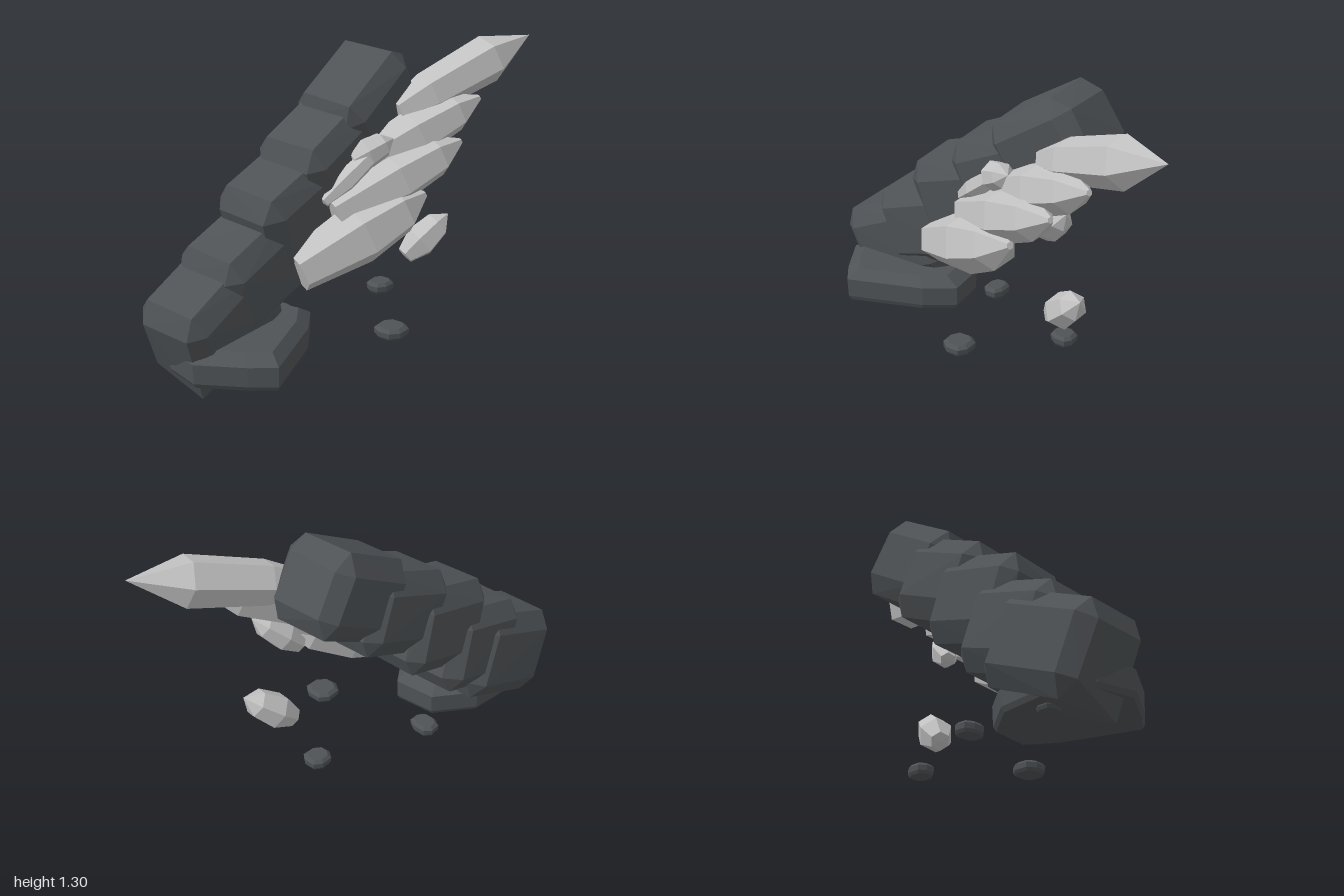
import * as THREE from 'three';
import { ConvexGeometry } from 'three/addons/geometries/ConvexGeometry.js';

const V = (x, y, z) => new THREE.Vector3(x, y, z);
const rad = THREE.MathUtils.degToRad;

// Small seeded generator for rough corners
let seed = 7;
const rough = (amount) => {
  seed = (seed * 16807) % 2147483647;
  return (seed / 2147483647 - 0.5) * 2 * amount;
};

// Corner points of a box with every edge and corner chamfered
function chamferedPoints(l, h, d, cu, cv, cw, jitter) {
  const points = [];
  for (const sx of [-1, 1]) for (const sy of [-1, 1]) for (const sz of [-1, 1]) {
    const add = (ix, iy, iz) => points.push(V(
      sx * (l / 2 - ix) + rough(jitter), sy * (h / 2 - iy) + rough(jitter), sz * (d / 2 - iz) + rough(jitter)));
    add(0, cv, cw);
    add(cu, 0, cw);
    add(cu, cv, 0);
  }
  return points;
}

// Flat stone: an outline stacked at several heights and scales
function flatStone(outline, levels) {
  const points = [];
  for (const [y, s] of levels) for (const [x, z] of outline) points.push(V(x * s, y, z * s));
  return new ConvexGeometry(points);
}

export function createModel() {
  const model = new THREE.Group();
  const darkStone = new THREE.MeshStandardMaterial({ color: 0x4f5356 });
  const paleCrystal = new THREE.MeshStandardMaterial({ color: 0xc2c2c2 });
  darkStone.flatShading = paleCrystal.flatShading = true;

  function add(name, geometry, material) {
    const mesh = new THREE.Mesh(geometry, material);
    mesh.name = name;
    model.add(mesh);
    return mesh;
  }

  // Leaning spine of overlapping boulders: centre x, y, tilt in degrees, length, height
  const boulders = [
    [-0.69, 0.315, 24, 0.54, 0.42],
    [-0.505, 0.455, 18, 0.48, 0.41],
    [-0.28, 0.665, 18, 0.48, 0.40],
    [-0.035, 0.86, 23, 0.48, 0.38],
    [0.195, 1.04, 31, 0.48, 0.38],
  ];
  boulders.forEach(([x, y, tilt, length, height], i) => {
    const points = chamferedPoints(length, height, 0.368, 0.068, 0.085, 0.06, 0.006);
    if (i === 0) points.push(V(-0.295, -0.207, 0.12)); // low foot corner
    const rock = add('spineBoulder' + (i + 1), new ConvexGeometry(points), darkStone);
    rock.position.set(x, y, -0.132);
    rock.rotation.set(rad(4), rad(6), rad(tilt), 'YZX');
  });

  // Foundation slab
  const slabOutline = [[-0.34, 0.03], [-0.2, 0.21], [-0.11, 0.30], [0.22, 0.13], [0.34, 0.02],
    [0.29, -0.17], [0.1, -0.28], [-0.2, -0.27], [-0.32, -0.15]];
  const slab = add('foundationSlab',
    flatStone(slabOutline, [[0.093, 0.95], [0.115, 0.99], [0.205, 1], [0.248, 0.8]]), darkStone);
  slab.position.x = -0.6;

  // Loose pebbles: x, z, width, depth
  const pebbleOutline = [[-0.5, -0.1], [-0.42, 0.3], [-0.1, 0.5], [0.35, 0.45],
    [0.5, 0.15], [0.42, -0.32], [0.1, -0.5], [-0.35, -0.42]];
  const pebbles = [[-0.01, 0.275, 0.14, 0.14], [0.30, -0.085, 0.12, 0.11],
    [-0.225, -0.22, 0.105, 0.13], [-0.65, -0.16, 0.10, 0.10]];
  pebbles.forEach(([x, z, w, d], i) => {
    const geometry = flatStone(pebbleOutline, [[-0.025, 0.85], [-0.012, 0.98], [0.012, 1], [0.026, 0.75]]);
    const pebble = add('pebble' + (i + 1), geometry, darkStone);
    pebble.scale.set(w, 1, d);
    pebble.position.set(x, i === 3 ? 0.1 : 0.116, z);
  });

  // Faceted crystal running from one point to another
  const blunt = [[0, 0], [0, 0.7], [0.48, 1], [0.8, 0.8], [1, 0.12], [1, 0]];
  const pointed = [[0, 0], [0, 0.5], [0.22, 0.88], [0.68, 1], [1, 0]];
  const stubby = [[0, 0], [0.02, 0.55], [0.35, 1], [0.75, 0.8], [1, 0]];
  function crystal(name, from, to, radius, profile, sides = 6) {
    const a = V(...from), axis = V(...to).sub(a), length = axis.length();
    const geometry = new THREE.LatheGeometry(
      profile.map(([t, r]) => new THREE.Vector2(r * radius, t * length)), sides);
    const mesh = add(name, geometry, paleCrystal);
    mesh.position.copy(a);
    mesh.quaternion.setFromUnitVectors(V(0, 1, 0), axis.normalize());
  }

  // Crystals fanned across the front of the spine
  crystal('lowerCrystal', [-0.355, 0.44, 0.04], [0.25, 0.68, 0.23], 0.143, blunt);
  crystal('middleCrystal', [-0.15, 0.65, 0.05], [0.475, 0.875, 0.24], 0.122, blunt);
  crystal('upperCrystal', [0.0, 0.8, 0.01], [0.64, 1.035, 0.205], 0.115, blunt);
  crystal('topCrystal', [0.27, 1.015, 0.03], [1.0, 1.26, 0.2], 0.112, pointed);

  // Smaller crystals between them
  crystal('slimCrystal', [-0.2, 0.71, 0.04], [0.1, 0.93, 0.12], 0.052, stubby);
  crystal('crystalBud', [-0.03, 0.86, 0.05], [0.15, 0.94, 0.13], 0.07, stubby, 7);
  crystal('underCrystal', [0.28, 0.68, 0.04], [0.47, 0.86, 0.13], 0.066, stubby);

  // Detached floating crystal
  crystal('floatingCrystal', [0.33, 0.295, 0.04], [0.545, 0.47, 0.12], 0.083, stubby);

  return model;
}
